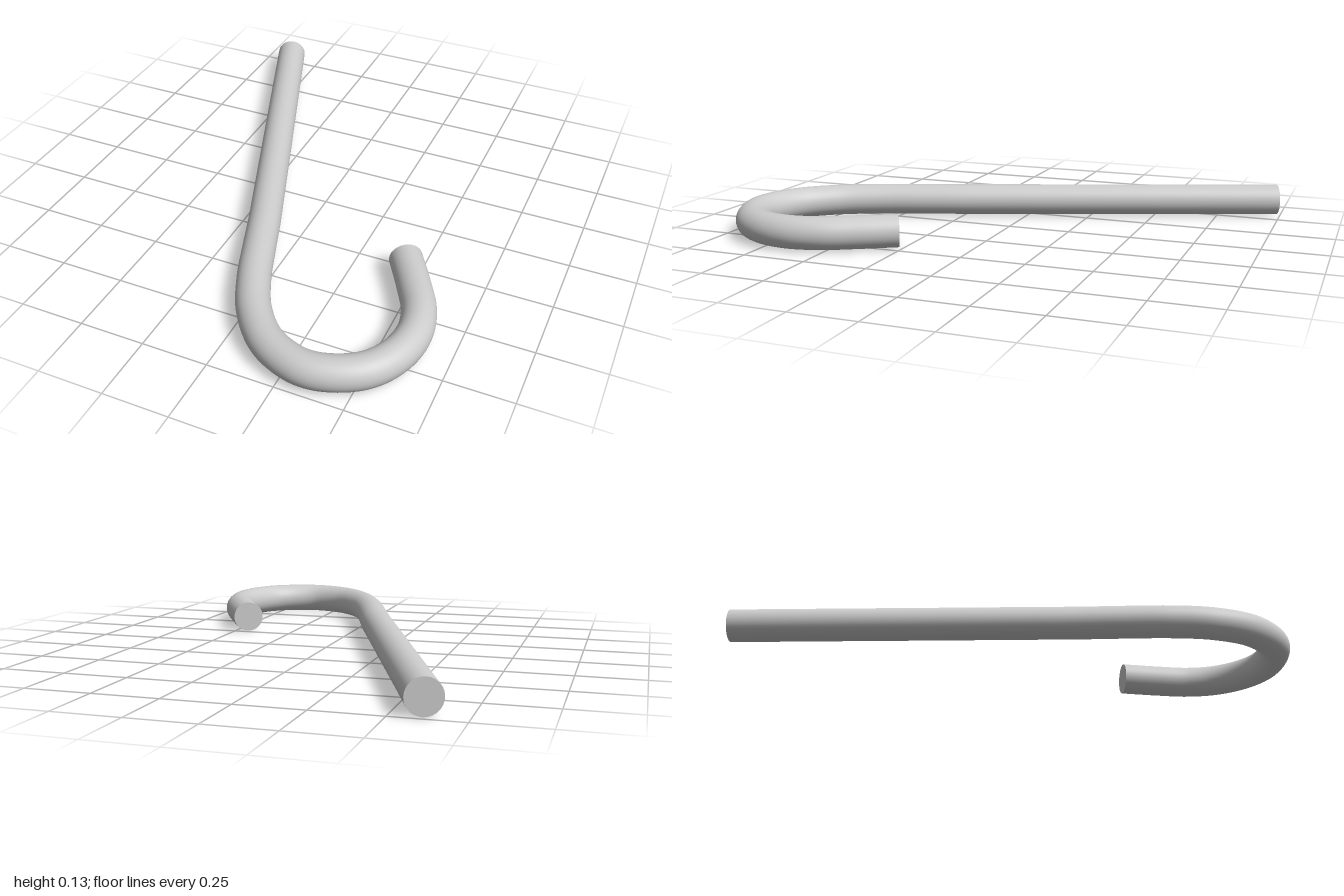
import * as THREE from 'three';

const RADIUS = 0.063;
const SIDES = 40;

// Centre line in plan (x, z): long straight shank, round bend, short return
const PATH = [
  [-0.612, -0.979], [-0.454, -0.56], [-0.295, -0.14], [-0.19, 0.138], [-0.137, 0.278],
  [-0.078, 0.445], [-0.016, 0.61], [0.06, 0.757], [0.175, 0.88], [0.322, 0.936],
  [0.435, 0.916], [0.53, 0.855], [0.59, 0.755], [0.608, 0.64],
  [0.584, 0.525], [0.525, 0.411], [0.444, 0.275],
];

export function createModel() {
  const group = new THREE.Group();
  group.name = 'hook';
  const material = new THREE.MeshStandardMaterial({ color: 0xcccccc });

  const curve = new THREE.CatmullRomCurve3(
    PATH.map(([x, z]) => new THREE.Vector3(x, RADIUS, z)), false, 'centripetal');

  // Bent round rod
  const rod = new THREE.Mesh(new THREE.TubeGeometry(curve, 160, RADIUS, SIDES), material);
  rod.name = 'bentRod';
  group.add(rod);

  // Flat cut ends, facing outward along the rod
  const addCap = (name, t, sign) => {
    const cap = new THREE.Mesh(new THREE.CircleGeometry(RADIUS, SIDES), material);
    cap.name = name;
    cap.position.copy(curve.getPointAt(t));
    const outward = curve.getTangentAt(t).multiplyScalar(sign);
    cap.quaternion.setFromUnitVectors(new THREE.Vector3(0, 0, 1), outward);
    group.add(cap);
  };
  addCap('shankEnd', 0, -1);
  addCap('hookEnd', 1, 1);

  return group;
}
